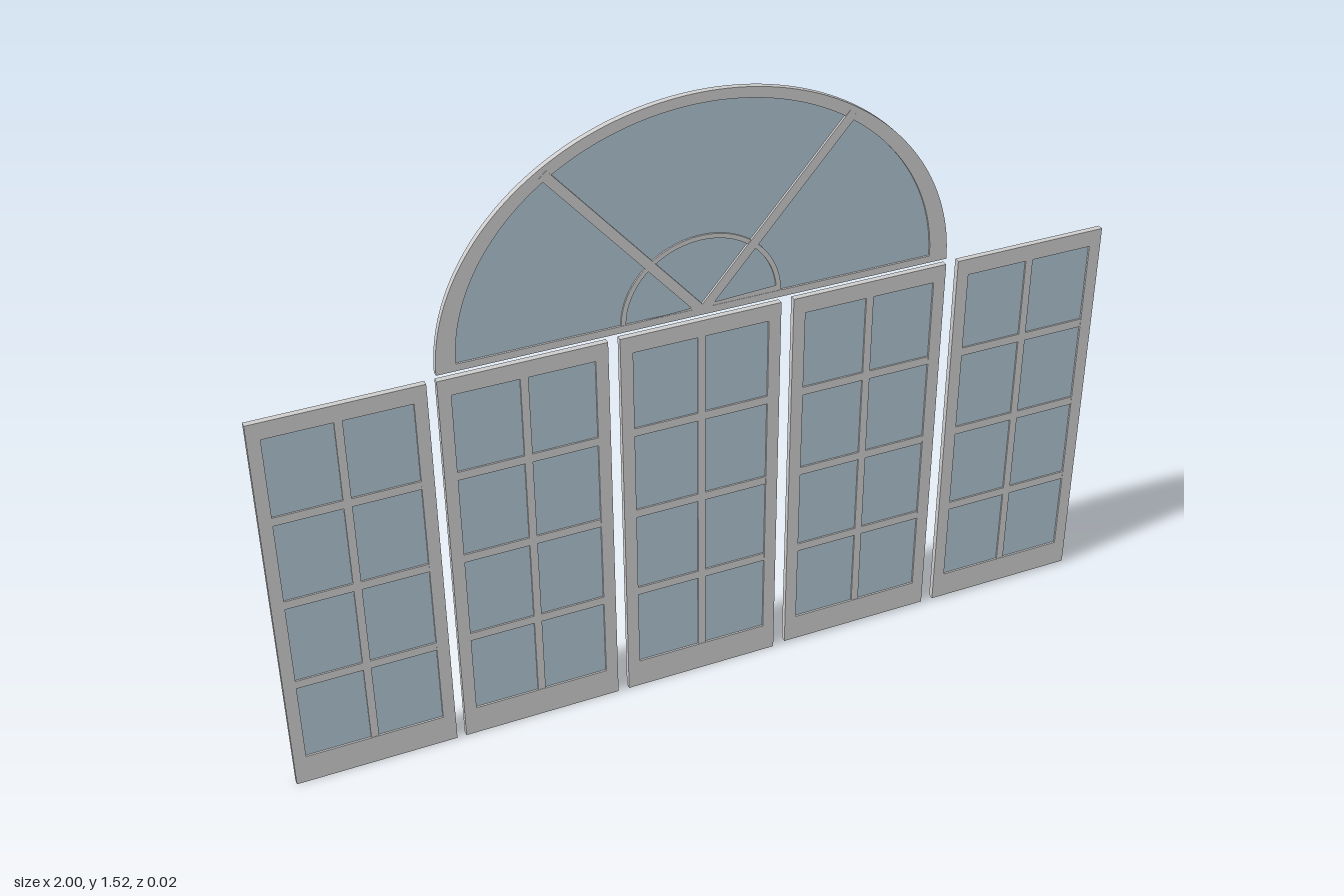
import * as THREE from 'three';

const frameMat = new THREE.MeshStandardMaterial({ color: 0xcccccc });
const glassMat = new THREE.MeshStandardMaterial({ color: 0xaec3d1 });

function addMesh(parent, name, geometry, material = frameMat) {
  const mesh = new THREE.Mesh(geometry, material);
  mesh.name = name;
  parent.add(mesh);
  return mesh;
}

// Box given by its edges in the front plane, centred on z = 0
function slab(parent, name, x0, x1, y0, y1, depth, material) {
  const mesh = addMesh(parent, name, new THREE.BoxGeometry(x1 - x0, y1 - y0, depth), material);
  mesh.position.set((x0 + x1) / 2, (y0 + y1) / 2, 0);
  return mesh;
}

function extrude(shape, depth) {
  return new THREE.ExtrudeGeometry(shape, { depth, bevelEnabled: false, curveSegments: 48 })
    .translate(0, 0, -depth / 2);
}

// Closed upper half of an ellipse standing on height y0
function halfEllipse(PathType, rx, ry, y0) {
  const path = new PathType();
  path.moveTo(rx, y0);
  path.absellipse(0, y0, rx, ry, 0, Math.PI, false, 0);
  path.closePath();
  return path;
}

function rectangle(PathType, x0, x1, y0, y1) {
  return new PathType([[x0, y0], [x1, y0], [x1, y1], [x0, y1]].map(p => new THREE.Vector2(...p)));
}

const DEPTH = 0.014;
const BAR_DEPTH = 0.0125;
const GLASS_DEPTH = 0.005;

// Tall panel with two columns and four rows of panes
function createPanel(name, x, bottom) {
  const panel = new THREE.Group();
  panel.name = name;
  panel.position.x = x;
  const half = 0.189, inner = 0.16, low = 0.074, high = 0.938;

  const outline = rectangle(THREE.Shape, -half, half, bottom, 0.979);
  outline.holes.push(rectangle(THREE.Path, -inner, inner, low, high));
  addMesh(panel, 'panelFrame', extrude(outline, DEPTH));
  slab(panel, 'panelGlass', -inner, inner, low, high, GLASS_DEPTH, glassMat);

  slab(panel, 'uprightBar', -0.009, 0.009, low, high, BAR_DEPTH);
  for (const y of [0.285, 0.508, 0.73]) {
    slab(panel, 'crossBar', -inner, inner, y - 0.0105, y + 0.0105, BAR_DEPTH);
  }
  return panel;
}

// Half-elliptical fanlight with two spokes and a small ring
function createFanlight() {
  const fan = new THREE.Group();
  fan.name = 'fanlight';
  fan.position.set(-0.005, 0.994, 0);

  const outline = halfEllipse(THREE.Shape, 0.595, 0.523, 0);
  outline.holes.push(halfEllipse(THREE.Path, 0.551, 0.482, 0.017));
  addMesh(fan, 'archFrame', extrude(outline, DEPTH));
  addMesh(fan, 'archGlass', extrude(halfEllipse(THREE.Shape, 0.556, 0.487, 0.012), GLASS_DEPTH), glassMat);

  // Spokes stand slightly proud of the frame at the front
  for (const side of [-1, 1]) {
    const dx = side * 0.345, dy = 0.4;
    const spoke = addMesh(fan, 'spoke', new THREE.BoxGeometry(0.022, Math.hypot(dx, dy), DEPTH));
    spoke.position.set(dx / 2, 0.01 + dy / 2, 0.001);
    spoke.rotation.z = -Math.atan2(dx, dy);
  }

  const ring = halfEllipse(THREE.Shape, 0.186, 0.179, 0.015);
  ring.holes.push(halfEllipse(THREE.Path, 0.175, 0.168, 0.0151));
  addMesh(fan, 'innerRing', extrude(ring, BAR_DEPTH));
  return fan;
}

export function createModel() {
  const model = new THREE.Group();
  model.name = 'archedWindow';

  // Five panels in a row, the last two starting a touch higher
  const centres = [-0.811, -0.411, -0.006, 0.402, 0.811];
  centres.forEach((x, i) => {
    model.add(createPanel('panel' + (i + 1), x, i < 3 ? 0 : 0.006));
  });
  model.add(createFanlight());
  return model;
}
